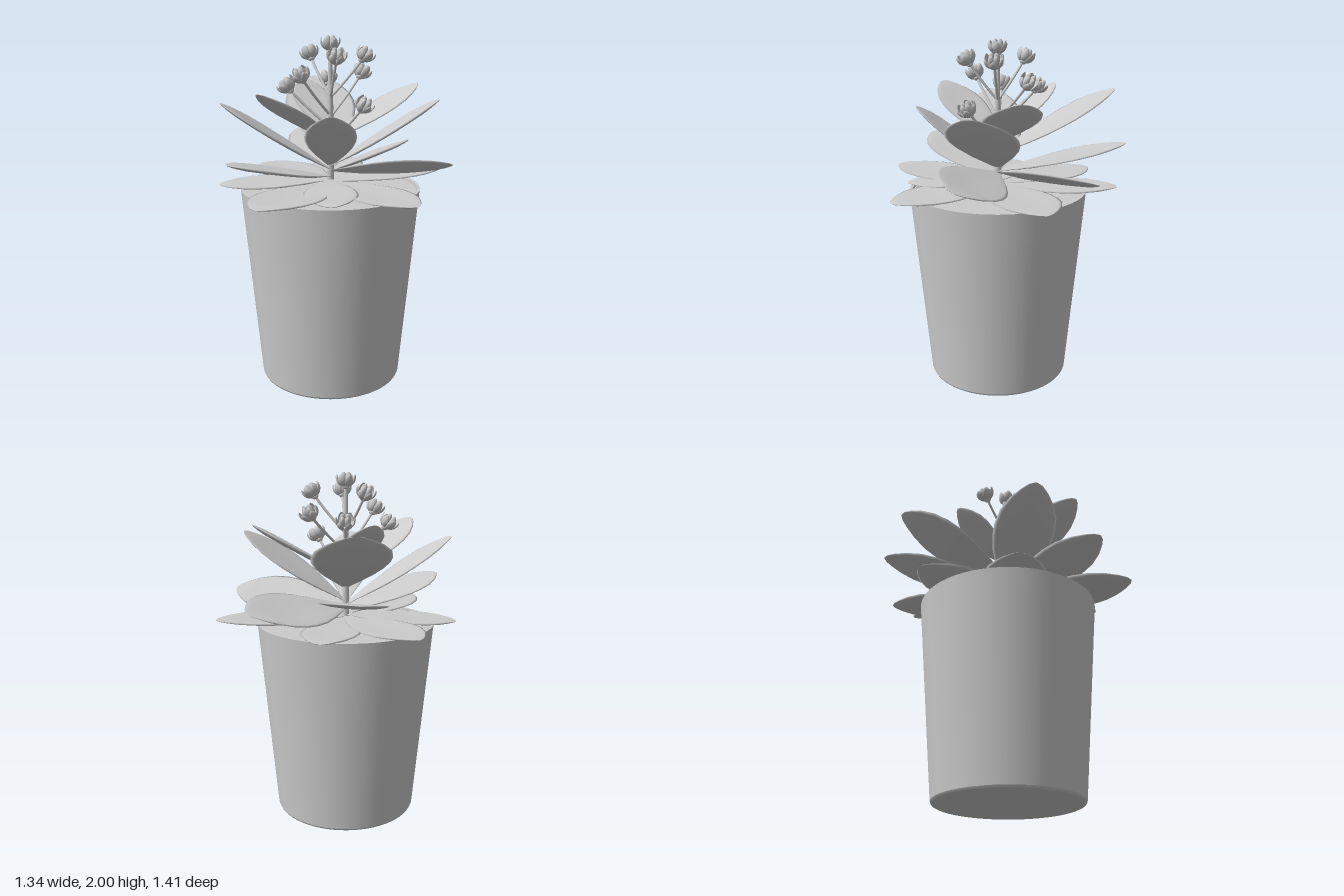
import * as THREE from 'three';
import { ParametricGeometry } from 'three/addons/geometries/ParametricGeometry.js';

const CX = -0.025, CZ = 0.04; // pot and stem axis
const rad = THREE.MathUtils.degToRad;

// Half-width along a blade: [position, share of the full half-width]
const OUTLINE = [[0, 0.1], [0.1, 0.3], [0.25, 0.62], [0.4, 0.87], [0.52, 0.98], [0.62, 1],
  [0.74, 0.92], [0.85, 0.7], [0.93, 0.44], [0.98, 0.22], [1, 0.02]];

function outlineAt(u) {
  const f = u * (OUTLINE.length - 1);
  const i = Math.min(Math.floor(f), OUTLINE.length - 2), k = f - i;
  return [0, 1].map((c) => THREE.MathUtils.lerp(OUTLINE[i][c], OUTLINE[i + 1][c], k));
}

// Fleshy blade lying along +x, bent upwards by "curl" radians, with a shallow trough
function bladeGeometry(length, width, thick, curl, cup) {
  return new ParametricGeometry((u, v, p) => {
    const [t, share] = outlineAt(u);
    const w = share * width / 2;
    const phi = v * Math.PI * 2;
    const side = Math.cos(phi);
    const lift = Math.sin(phi) * thick / 2 * Math.min(1, share * 1.6) + cup * w * side * side;
    const a = curl * t;
    p.set(length * Math.sin(a) / curl - lift * Math.sin(a),
      length * (1 - Math.cos(a)) / curl + lift * Math.cos(a), w * side);
  }, OUTLINE.length - 1, 14);
}

// Leaves: tip x, tip z, tip height, base height, width, roll in degrees
const LEAVES = {
  lowerLeaf: [
    [0.67, -0.27, 1.21, 1.18, 0.36, 0], [0.42, 0.57, 1.17, 1.18, 0.36, 0],
    [-0.02, 0.575, 1.17, 1.19, 0.3, 0], [-0.39, 0.70, 1.19, 1.17, 0.38, 0],
    [-0.67, 0.04, 1.16, 1.19, 0.34, 0], [-0.45, -0.48, 1.18, 1.18, 0.36, 0],
    [0.05, -0.645, 1.19, 1.17, 0.32, 0],
  ],
  middleLeaf: [
    [0.65, 0.21, 1.31, 1.24, 0.38, 22], [-0.15, -0.70, 1.40, 1.25, 0.38, 4],
    [-0.55, 0.50, 1.37, 1.21, 0.36, 0], [0.45, -0.51, 1.31, 1.24, 0.38, 20],
  ],
  upperLeaf: [
    [0.58, 0.12, 1.66, 1.27, 0.40, 0], [-0.02, 0.51, 1.62, 1.27, 0.28, 0],
    [-0.63, 0.14, 1.64, 1.25, 0.36, 0], [-0.13, -0.62, 1.72, 1.35, 0.43, 0],
    [0.48, -0.13, 1.72, 1.42, 0.33, 0], [-0.39, 0.41, 1.72, 1.42, 0.30, 0],
    [-0.20, -0.28, 1.74, 1.46, 0.24, 0],
  ],
};

// Flower centres: x, y, z
const FLOWERS = [
  [-0.04, 1.75, -0.19], [0.16, 1.79, -0.145], [0.17, 1.90, 0.04], [0.16, 1.64, 0.19],
  [0.01, 1.90, 0.21], [-0.185, 1.80, 0.19], [-0.27, 1.73, 0.04], [-0.145, 1.90, -0.11],
];

export function createModel() {
  const model = new THREE.Group();
  const mat = new THREE.MeshStandardMaterial({ color: 0xcccccc, roughness: 0.8 });
  const add = (parent, geometry, name) => {
    const mesh = new THREE.Mesh(geometry, mat);
    mesh.name = name;
    parent.add(mesh);
    return mesh;
  };

  // Tapered pot with a hollow rim
  const potProfile = [[0, 0], [0.402, 0], [0.402, 0], [0.411, 0.004], [0.416, 0.014], [0.416, 0.014],
    [0.515, 1.15], [0.515, 1.15], [0.497, 1.15], [0.497, 1.15], [0.49, 1.08]];
  const pot = add(model, new THREE.LatheGeometry(potProfile.map(([x, y]) => new THREE.Vector2(x, y)), 64), 'pot');
  pot.position.set(CX, 0, CZ);

  // Soil just below the rim
  const soil = add(model, new THREE.CylinderGeometry(0.495, 0.49, 0.03, 64), 'soil');
  soil.position.set(CX, 1.12, CZ);

  // Central stem
  const stem = add(model, new THREE.CylinderGeometry(0.011, 0.022, 0.82, 12), 'mainStem');
  stem.position.set(CX, 1.53, CZ);

  // Rosette of leaves
  for (const [name, list] of Object.entries(LEAVES)) {
    for (const [x, z, tipY, baseY, width, roll] of list) {
      const dx = x - CX, dz = z - CZ, flat = Math.hypot(dx, dz), rise = tipY - baseY;
      const curl = 0.1;
      const geo = bladeGeometry(Math.hypot(flat, rise), width, 0.024, curl, 0.07);
      geo.rotateX(-rad(roll));
      geo.rotateZ(Math.atan2(rise, flat) - curl / 2);
      geo.rotateY(-Math.atan2(dz, dx));
      add(model, geo, name).position.set(CX, baseY, CZ);
    }
  }

  // Flowers: cupped outer petals around a cluster of buds
  const petalGeo = bladeGeometry(0.1, 0.046, 0.009, 1.9, 0.25);
  const budGeo = new THREE.SphereGeometry(1, 10, 8);
  const up = new THREE.Vector3(0, 1, 0);
  const addFlower = (centre, dir) => {
    const flower = new THREE.Group();
    flower.name = 'flower';
    for (let i = 0; i < 6; i++) {
      add(flower, petalGeo, 'petal').rotation.y = i * Math.PI / 3;
    }
    for (let i = 0; i < 4; i++) {
      const a = (i + 0.5) * Math.PI / 2;
      const bud = add(flower, budGeo, 'bud');
      bud.scale.set(0.018, 0.036, 0.018);
      bud.position.set(Math.cos(a) * 0.02, 0.045, Math.sin(a) * 0.02);
    }
    add(flower, budGeo, 'flowerBase').scale.set(0.02, 0.014, 0.02);
    flower.quaternion.setFromUnitVectors(up, dir);
    flower.position.copy(centre).addScaledVector(dir, -0.042);
    model.add(flower);
    return flower.position;
  };

  addFlower(new THREE.Vector3(CX, 1.961, CZ), up);
  for (const [x, y, z] of FLOWERS) {
    const centre = new THREE.Vector3(x, y, z);
    const out = new THREE.Vector3(x - CX, 0, z - CZ);
    const dir = out.clone().setY(0.32).normalize();
    const end = addFlower(centre, dir);
    // Curved side stem
    const root = new THREE.Vector3(CX, y - 0.24, CZ);
    const bend = root.clone().lerp(end, 0.55).addScaledVector(out, 0.06);
    const curve = new THREE.QuadraticBezierCurve3(root, bend, end.clone());
    add(model, new THREE.TubeGeometry(curve, 8, 0.0075, 8), 'flowerStem');
  }
  return model;
}
